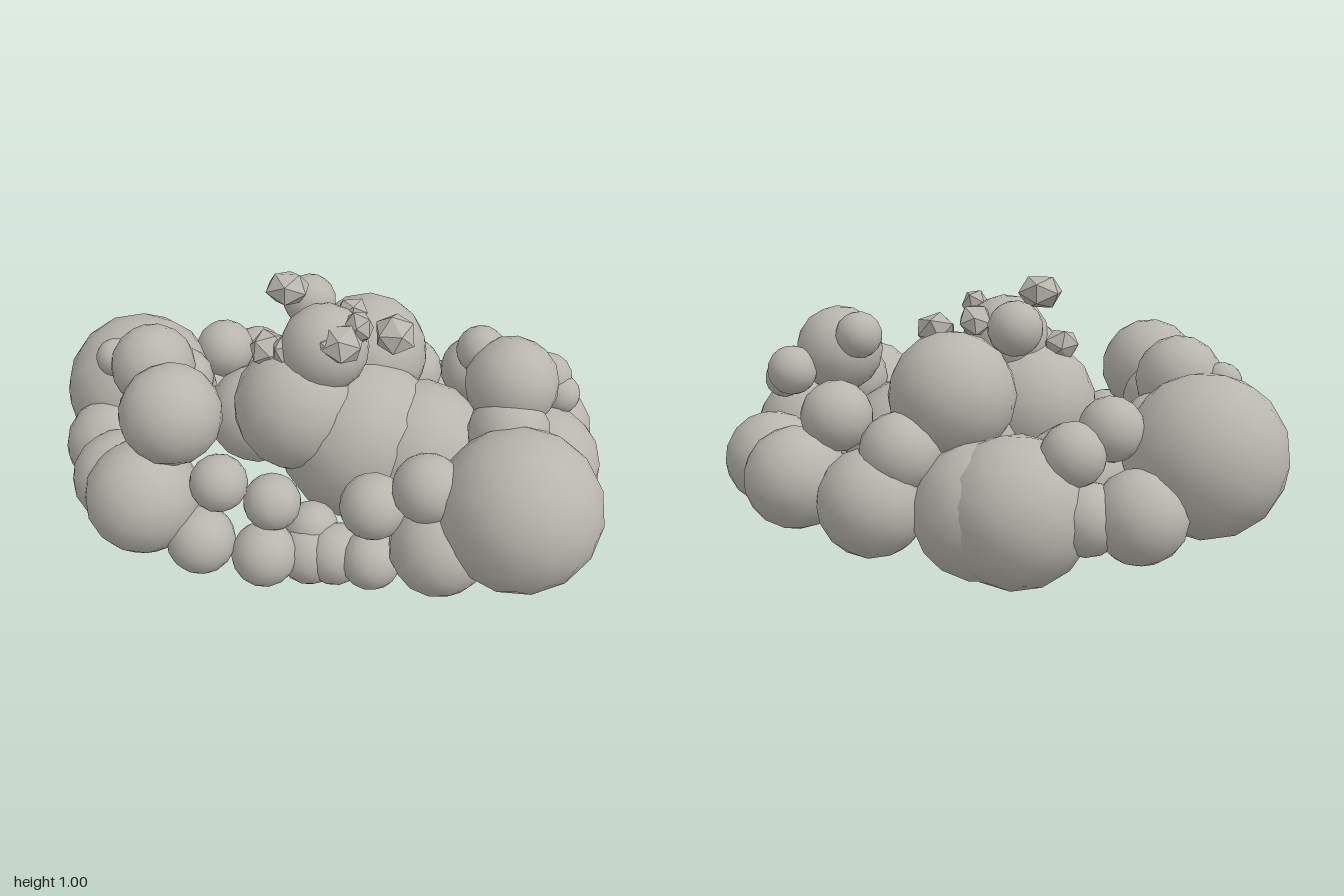
import * as THREE from 'three';

// Each puff: x, y, z, radius
const clusters = {
  coreCloud: [
    [0.14, 0.385, -0.01, 0.30], [0.35, 0.35, 0.01, 0.265], [-0.08, 0.53, 0.03, 0.235],
    [0.14, 0.61, -0.24, 0.22], [0.01, 0.77, 0.02, 0.155], [-0.07, 0.84, -0.19, 0.095],
  ],
  backCloud: [
    [-0.12, 0.26, -0.40, 0.26], [0.0, 0.25, -0.38, 0.24], [-0.28, 0.33, -0.2, 0.19],
    [0.37, 0.27, -0.43, 0.19], [0.28, 0.44, -0.40, 0.14],
  ],
  leftCloud: [
    [0.705, 0.40, 0.375, 0.28], [0.78, 0.38, 0.075, 0.215], [0.74, 0.33, 0.19, 0.175],
    [0.82, 0.34, -0.22, 0.17], [0.67, 0.32, -0.37, 0.18], [0.54, 0.53, -0.30, 0.125],
    [0.66, 0.57, 0.17, 0.14], [0.66, 0.70, 0.06, 0.16], [0.55, 0.77, -0.03, 0.085],
    [0.79, 0.64, -0.09, 0.09], [0.84, 0.60, -0.05, 0.07], [0.45, 0.25, 0.42, 0.17],
    [0.40, 0.47, 0.39, 0.12],
  ],
  rightCloud: [
    [-0.72, 0.43, -0.18, 0.28], [-0.58, 0.34, 0.38, 0.2], [-0.48, 0.635, 0.30, 0.175],
    [-0.55, 0.55, 0.18, 0.15], [-0.61, 0.65, 0.02, 0.15], [-0.76, 0.65, -0.02, 0.07],
    [-0.77, 0.34, 0.08, 0.17], [-0.69, 0.33, 0.27, 0.17], [-0.53, 0.27, -0.39, 0.16],
    [-0.36, 0.26, -0.42, 0.125], [-0.42, 0.54, -0.32, 0.11], [-0.31, 0.47, -0.41, 0.11],
    [-0.55, 0.51, -0.13, 0.12],
  ],
  frontRim: [
    [-0.31, 0.42, 0.38, 0.1], [-0.37, 0.215, 0.44, 0.12], [-0.13, 0.34, 0.36, 0.1],
    [-0.15, 0.165, 0.43, 0.115], [0.0, 0.2, 0.31, 0.095], [0.0, 0.13, 0.36, 0.115],
    [0.09, 0.14, 0.37, 0.11], [0.22, 0.37, 0.38, 0.115], [0.22, 0.16, 0.41, 0.105],
  ],
};

// Faceted crystals scattered around the summit
const crystals = [
  [-0.13, 0.95, -0.06, 0.078], [0.25, 0.80, -0.05, 0.078], [0.08, 0.84, 0.11, 0.08],
  [0.13, 0.88, 0.06, 0.06], [0.09, 0.85, -0.1, 0.065], [-0.19, 0.75, 0.02, 0.07],
  [-0.13, 0.76, 0.05, 0.055], [0.03, 0.83, 0.13, 0.045],
];

export function createModel() {
  const model = new THREE.Group();
  model.name = 'cloud';
  const stone = new THREE.MeshStandardMaterial({ color: 0xb9b6ae });
  stone.name = 'warmGrey';

  const puffShape = new THREE.IcosahedronGeometry(1.01, 2);
  const crystalShape = new THREE.IcosahedronGeometry(1, 0).scale(1.05, 0.8, 1);

  function addGroup(name, partName, shape, items, tilt) {
    const group = new THREE.Group();
    group.name = name;
    items.forEach(([x, y, z, r], i) => {
      const mesh = new THREE.Mesh(shape, stone);
      mesh.name = partName;
      mesh.position.set(x, y, z);
      mesh.scale.setScalar(r);
      mesh.rotation.set(i * tilt, i * 2.1, i * tilt * 0.6);
      group.add(mesh);
    });
    model.add(group);
  }

  for (const [name, puffs] of Object.entries(clusters)) addGroup(name, 'puff', puffShape, puffs, 0);
  addGroup('summitCrystals', 'crystal', crystalShape, crystals, 0.4);
  return model;
}
